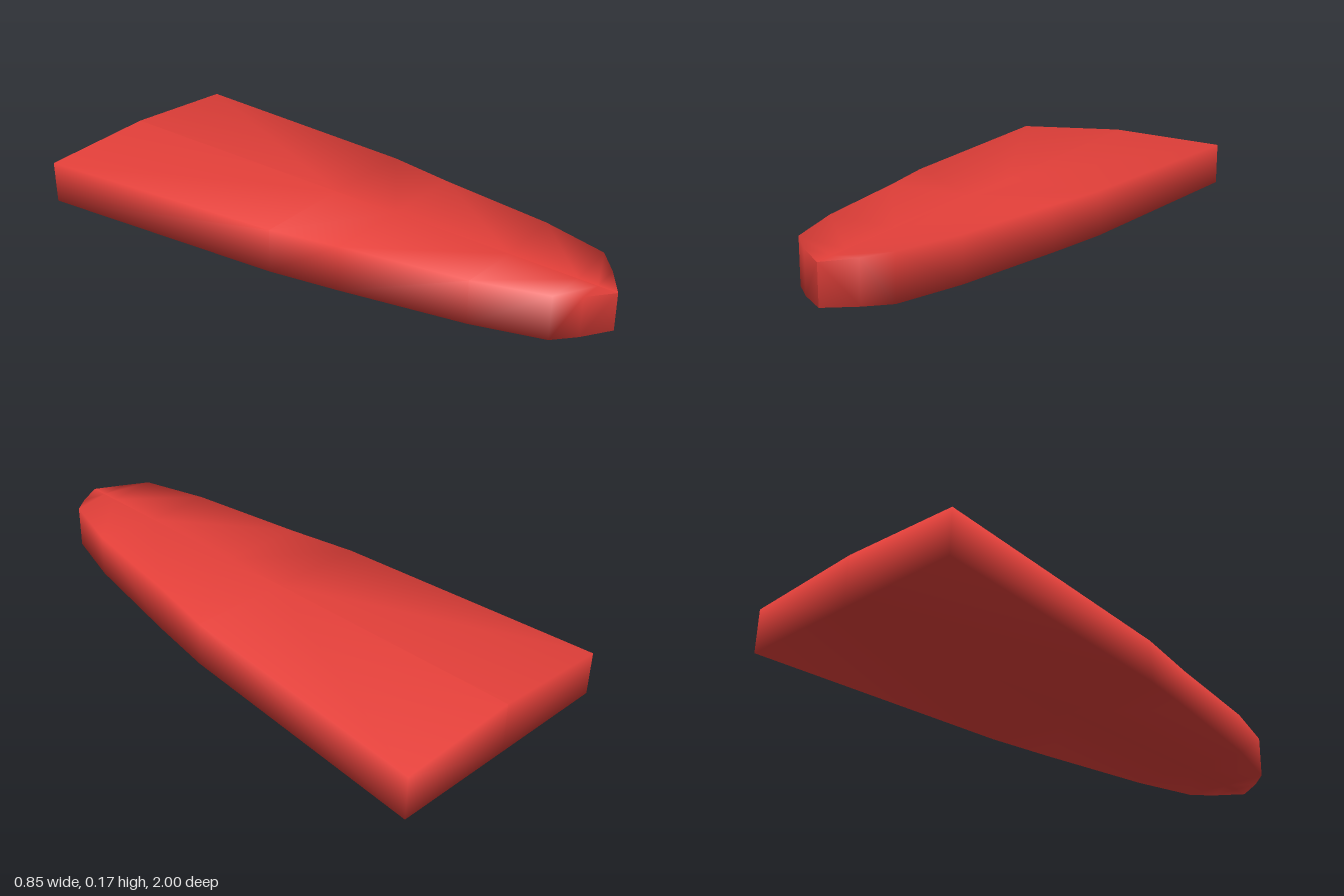
import * as THREE from 'three';

// Stations from stern to bow: z, half width at the bottom, half width at the deck, deck edge height
const STATIONS = [
  [-1, 0.427, 0.427, 0.15],
  [-0.05, 0.355, 0.35, 0.15],
  [0.2, 0.315, 0.302, 0.15],
  [0.63, 0.235, 0.235, 0.15],
  [0.87, 0.165, 0.165, 0.15],
  [0.935, 0.095, 0.095, 0.138],
  [1, 0, 0, 0.13],
];

// Height of the deck's centre line, rising evenly towards the stern
const ridge = (z) => 0.1515 - 0.0215 * z;

// One half of the hull, lofted through the stations; side is +1 or -1
function halfHull(side) {
  const positions = [];
  const index = [];
  const tri = (a, b, c) => (side > 0 ? index.push(a, b, c) : index.push(a, c, b));

  for (const [z, bottom, deck, height] of STATIONS) {
    positions.push(0, 0, z, side * bottom, 0, z, side * deck, height, z, 0, ridge(z), z);
  }
  for (let i = 0; i < STATIONS.length - 1; i++) {
    // Bottom, side wall and deck strips
    for (let j = 0; j < 3; j++) {
      const a = i * 4 + j;
      tri(a, a + 1, a + 5);
      tri(a, a + 5, a + 4);
    }
  }
  // Flat stern
  tri(0, 2, 1);
  tri(0, 3, 2);

  const geometry = new THREE.BufferGeometry();
  geometry.setAttribute('position', new THREE.Float32BufferAttribute(positions, 3));
  geometry.setIndex(index);
  geometry.computeVertexNormals();
  return geometry;
}

export function createModel() {
  const group = new THREE.Group();
  group.name = 'hull';
  const red = new THREE.MeshStandardMaterial({ color: 0xe5403a });
  for (const side of [1, -1]) {
    const half = new THREE.Mesh(halfHull(side), red);
    half.name = side > 0 ? 'leftHullHalf' : 'rightHullHalf';
    group.add(half);
  }
  return group;
}
